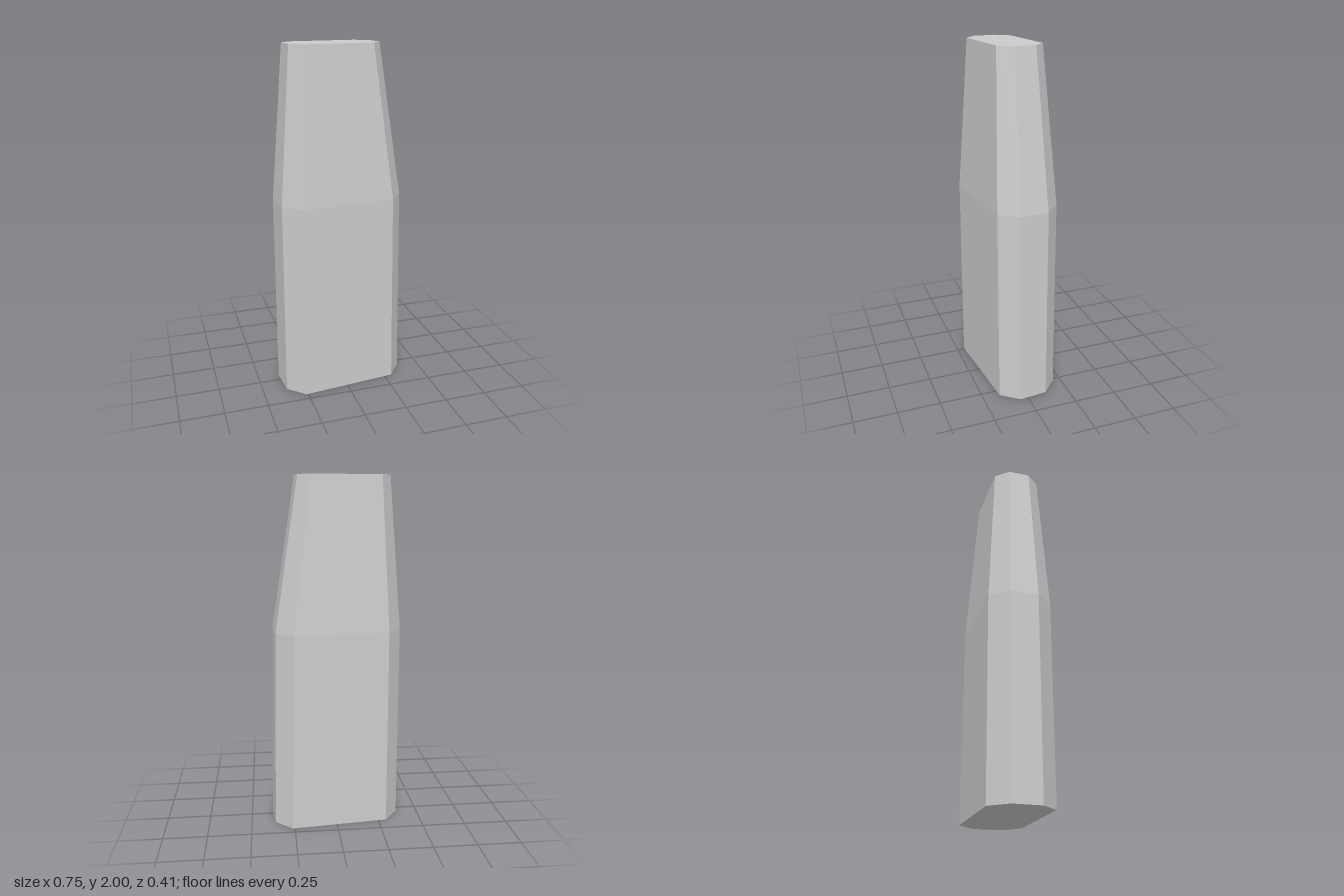
import * as THREE from 'three';

// Chamfered octagonal outlines [x, z], clockwise seen from above
const base = [[-0.296, -0.153], [0.262, -0.207], [0.36, -0.118], [0.375, 0.045],
  [0.295, 0.15], [-0.262, 0.205], [-0.36, 0.115], [-0.376, -0.046]];
const crown = [[-0.25, -0.113], [0.135, -0.151], [0.207, -0.085], [0.219, 0.035],
  [0.16, 0.113], [-0.224, 0.152], [-0.297, 0.085], [-0.308, -0.035]];

// The shoulder repeats the base with its +x end drawn in slightly
const shoulder = base.map(([x, z]) => (x > 0 ? [x - 0.02, z + 0.001] : [x, z]));

// Faceted solid through a stack of outlines, closed at both ends
function loft(sections) {
  const rings = sections.map(([y, outline]) => outline.map(([x, z]) => [x, y, z]));
  const n = rings[0].length;
  const positions = [];
  const tri = (a, b, c) => positions.push(...a, ...b, ...c);
  for (let r = 0; r < rings.length - 1; r++) {
    const low = rings[r], high = rings[r + 1];
    for (let i = 0; i < n; i++) {
      const j = (i + 1) % n;
      tri(low[i], high[i], high[j]);
      tri(low[i], high[j], low[j]);
    }
  }
  const bottom = rings[0], top = rings[rings.length - 1];
  for (let i = 1; i < n - 1; i++) {
    tri(bottom[0], bottom[i], bottom[i + 1]);
    tri(top[0], top[i + 1], top[i]);
  }
  const geometry = new THREE.BufferGeometry();
  geometry.setAttribute('position', new THREE.Float32BufferAttribute(positions, 3));
  geometry.computeVertexNormals();
  return geometry;
}

export function createModel() {
  const group = new THREE.Group();
  group.name = 'taperedPillar';

  // Near-straight lower body, tapering above the shoulder
  const pillar = new THREE.Mesh(
    loft([[0, base], [1.14, shoulder], [2, crown]]),
    new THREE.MeshStandardMaterial({ color: 0xcccccc, flatShading: true })
  );
  pillar.name = 'pillar';
  group.add(pillar);
  return group;
}
